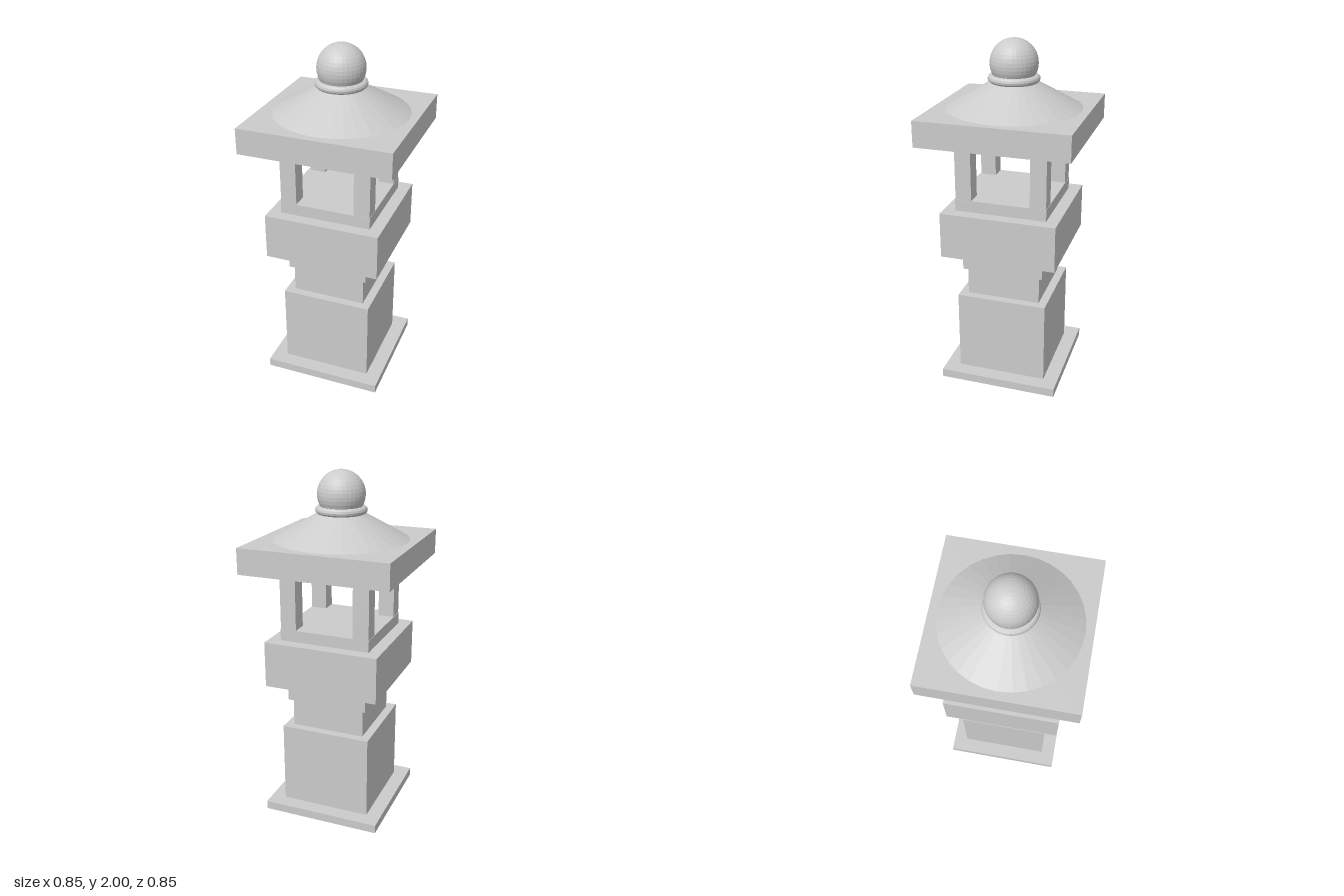
import * as THREE from 'three';

export function createModel() {
  const group = new THREE.Group();
  const material = new THREE.MeshStandardMaterial({ color: 0xcccccc, flatShading: true });

  const add = (name, geometry, x, y, z) => {
    const mesh = new THREE.Mesh(geometry, material);
    mesh.name = name;
    mesh.position.set(x, y, z);
    group.add(mesh);
    return mesh;
  };

  // Square tiers: name, half width, bottom, top
  const tiers = [
    ['basePlate', 0.346, 0, 0.05],
    ['pedestal', 0.262, 0.05, 0.535],
    ['neck', 0.214, 0.535, 0.7],
    ['collar', 0.236, 0.7, 0.81],
    ['platform', 0.331, 0.81, 1.075],
    ['chamberFloor', 0.262, 1.075, 1.142],
    ['chamberLintel', 0.262, 1.43, 1.48],
    ['roofSlab', 0.425, 1.48, 1.625],
  ];
  for (const [name, half, bottom, top] of tiers) {
    add(name, new THREE.BoxGeometry(half * 2, top - bottom, half * 2), 0, (bottom + top) / 2, 0);
  }

  // Four corner posts of the open light chamber
  const outer = 0.26, inner = 0.168;
  const postGeometry = new THREE.BoxGeometry(outer - inner, 0.288, outer - inner);
  const c = (outer + inner) / 2;
  for (const sx of [-1, 1]) {
    for (const sz of [-1, 1]) add('cornerPost', postGeometry, sx * c, 1.286, sz * c);
  }

  // Conical roof, ring and ball finial
  add('roofCone', new THREE.CylinderGeometry(0.13, 0.38, 0.14, 32), 0, 1.695, 0);
  const ring = add('finialRing', new THREE.TorusGeometry(0.122, 0.022, 12, 48), 0, 1.784, 0);
  ring.rotation.x = Math.PI / 2;
  add('finialBall', new THREE.SphereGeometry(0.133, 32, 20), 0, 1.867, 0);

  return group;
}
